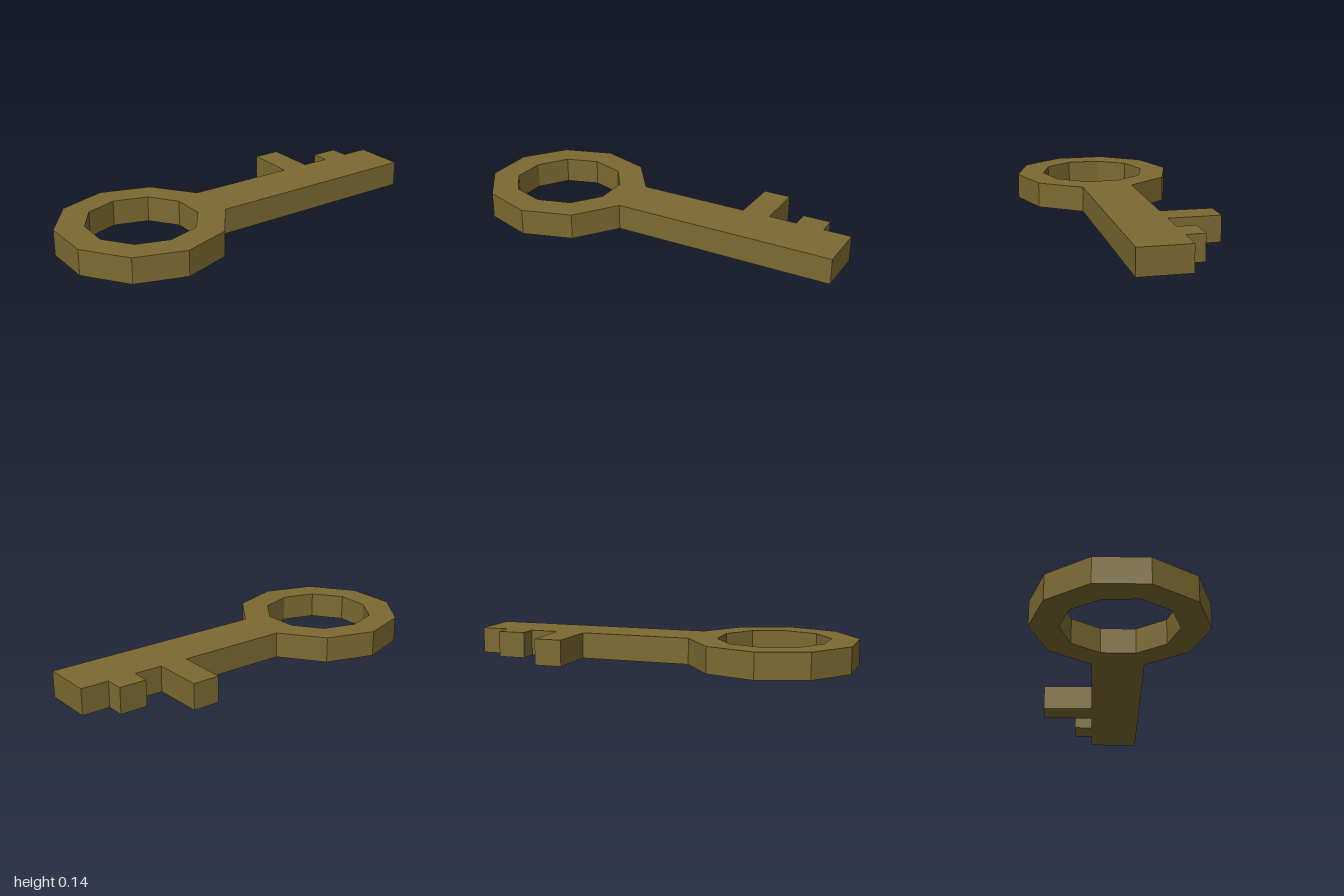
import * as THREE from 'three';

const HEIGHT = 0.135;

// Outline points are [x, z] on the ground plane; shape y is -z.
const toPoints = (list) => list.map(([x, z]) => new THREE.Vector2(x, -z));

export function createModel() {
  const group = new THREE.Group();
  group.name = 'key';

  const brass = new THREE.MeshStandardMaterial({ color: 0x7c6a31 });
  brass.name = 'dull brass';

  // Ten-sided bow, slightly tilted shank and two teeth in one outline
  const outline = new THREE.Shape(toPoints([
    // bow, back half
    [-0.997, 0.135], [-1, -0.13], [-0.847, -0.346], [-0.595, -0.433], [-0.338, -0.356], [-0.175, -0.142],
    // long tooth
    [0.407, -0.152], [0.407, -0.42], [0.55, -0.423], [0.555, -0.155],
    // short tooth
    [0.704, -0.157], [0.702, -0.253], [0.846, -0.256], [0.849, -0.159],
    // tip and front edge
    [0.995, -0.161], [1, 0.105], [-0.174, 0.127],
    // bow, front half
    [-0.325, 0.348], [-0.578, 0.433], [-0.836, 0.354],
  ]));

  // Ten-sided opening of the bow, wound against the outline
  outline.holes.push(new THREE.Path(toPoints([
    [-0.76, -0.232], [-0.857, -0.083], [-0.861, 0.092], [-0.755, 0.235], [-0.584, 0.286],
    [-0.413, 0.23], [-0.31, 0.081], [-0.314, -0.096], [-0.418, -0.238], [-0.594, -0.289],
  ])));

  const geometry = new THREE.ExtrudeGeometry(outline, { depth: HEIGHT, bevelEnabled: false });
  geometry.rotateX(-Math.PI / 2);

  const body = new THREE.Mesh(geometry, brass);
  body.name = 'keyBody';
  group.add(body);
  return group;
}
